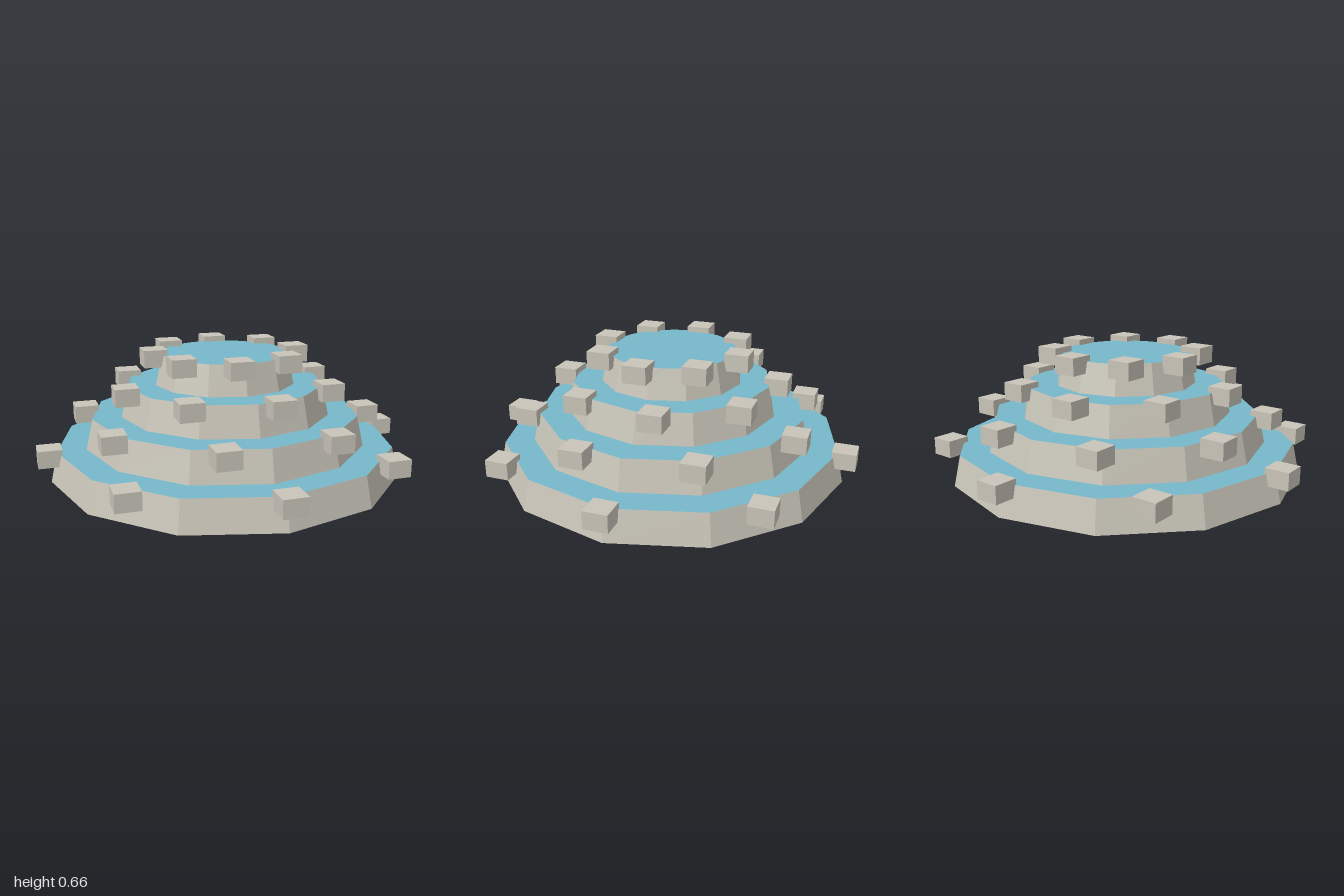
import * as THREE from 'three';

export function createModel() {
  const model = new THREE.Group();
  model.name = 'tieredFountain';

  const stone = new THREE.MeshStandardMaterial({ color: 0xc8c4b8, flatShading: true, side: THREE.DoubleSide });
  stone.name = 'stone';
  const water = new THREE.MeshStandardMaterial({ color: 0x76b8ca, flatShading: true, side: THREE.DoubleSide });
  water.name = 'water';

  const STEP = 0.1573; // height of one tier
  const tiers = [
    { bottom: 0.935, top: 0.9, sides: 12 },
    { bottom: 0.748, top: 0.712, sides: 12 },
    { bottom: 0.56, top: 0.525, sides: 12 },
    { bottom: 0.374, top: 0.338, sides: 24 },
  ];
  const blockGeometry = new THREE.BoxGeometry(0.123, 0.09, 0.123);

  tiers.forEach(({ bottom, top, sides }, i) => {
    const tier = new THREE.Group();
    tier.name = `tier${i + 1}`;
    tier.position.y = i * STEP;
    model.add(tier);

    // Sloping twelve-sided wall, open above and below
    const wall = new THREE.Mesh(new THREE.CylinderGeometry(top, bottom, STEP, 12, 1, true), stone);
    wall.name = 'wall';
    wall.position.y = STEP / 2;
    tier.add(wall);

    // Water surface level with the rim
    const pool = new THREE.Mesh(new THREE.CircleGeometry(top, sides), water);
    pool.name = 'pool';
    pool.rotation.x = -Math.PI / 2;
    pool.position.y = STEP;
    tier.add(pool);

    // Eight square rim stones, turned a little further on each tier
    for (let k = 0; k < 8; k++) {
      const angle = (k * Math.PI) / 4 + i * 0.3;
      const block = new THREE.Mesh(blockGeometry, stone);
      block.name = 'rimStone';
      block.position.set(Math.cos(angle) * (bottom + 0.002), STEP - 0.015, Math.sin(angle) * (bottom + 0.002));
      tier.add(block);
    }
  });

  return model;
}
